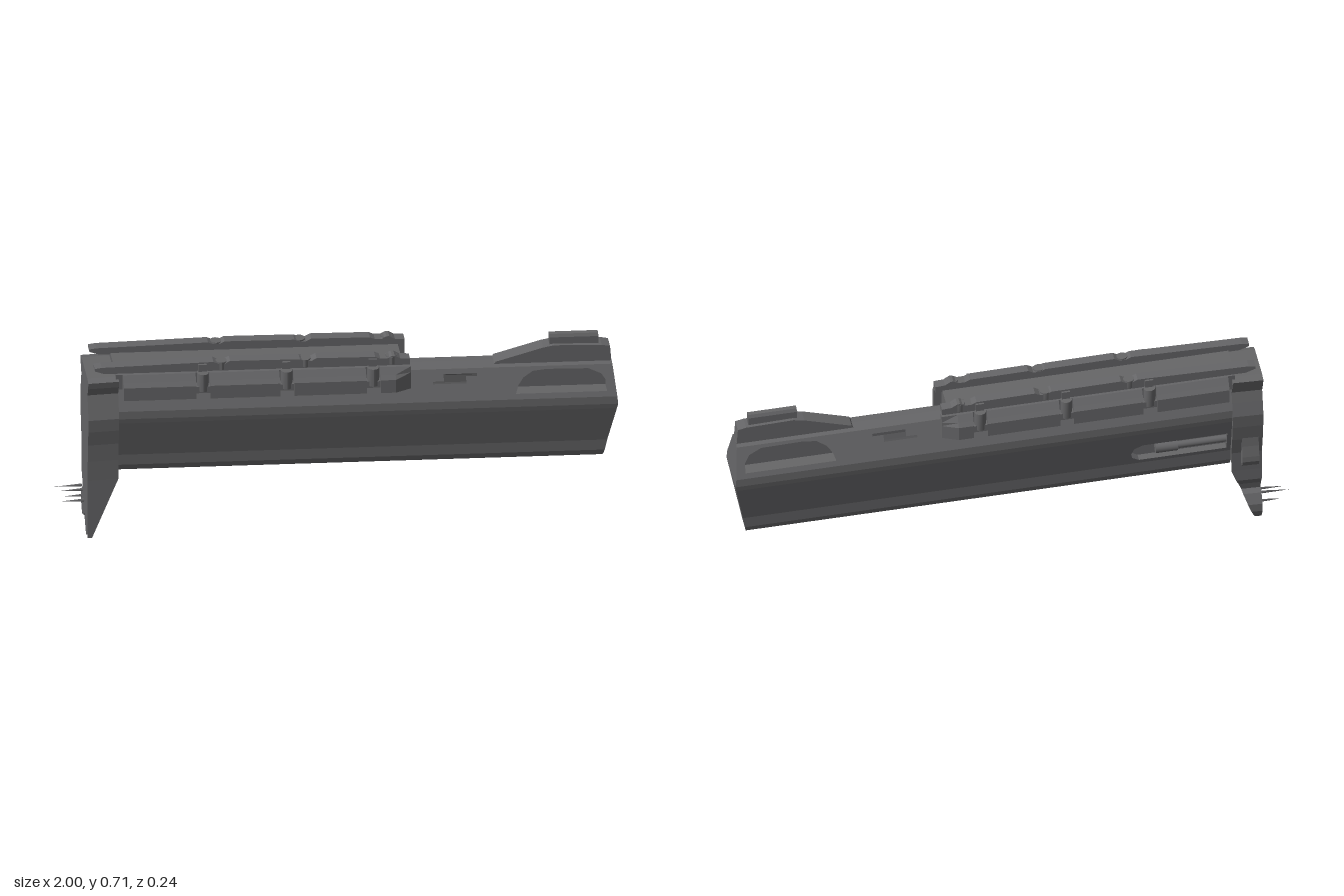
import * as THREE from 'three';

const SLOPE = 0.046; // everything but the rear frame droops towards the muzzle
const REAR = -0.79;
const gunmetal = new THREE.MeshStandardMaterial({ color: 0x656567, side: THREE.DoubleSide });
gunmetal.name = 'gunmetal';

// half cross-section of the shroud as [half width, height]
const PROFILE = [[0, 0.213], [0.022, 0.217], [0.04, 0.23], [0.05, 0.252], [0.053, 0.295], [0.09, 0.445],
  [0.094, 0.465], [0.093, 0.495], [0.042, 0.6], [0.03, 0.606], [0, 0.608]];
const muzzleX = y => (y < 0.465 ? 0.95 + (y - 0.213) / 0.252 * 0.05 : 1 - (y - 0.465) * 0.1);
const halfWidth = y => {
  for (let i = 1; i < PROFILE.length; i++) {
    const [w0, y0] = PROFILE[i - 1], [w1, y1] = PROFILE[i];
    if (y <= y1) return w0 + (w1 - w0) * (y - y0) / (y1 - y0);
  }
  return 0;
};
const v2 = pts => pts.map(p => new THREE.Vector2(p[0], p[1]));
const shapeOf = pts => new THREE.Shape(v2(pts));

// extrude a [z, y] section along x
function extrudeX(pts, x0, x1) {
  const g = new THREE.ExtrudeGeometry(shapeOf(pts.map(([z, y]) => [-z, y])), { depth: x1 - x0, bevelEnabled: false });
  return g.rotateY(Math.PI / 2).translate(x0, 0, 0);
}
// extrude an [x, y] outline along z
function extrudeZ(pts, z0, z1) {
  return new THREE.ExtrudeGeometry(shapeOf(pts), { depth: z1 - z0, bevelEnabled: false }).translate(0, 0, z0);
}
// ribbon of quads between two equal rows of points
function ribbon(a, b) {
  const pos = [];
  for (let i = 0; i < a.length - 1; i++) pos.push(...a[i], ...b[i], ...b[i + 1], ...a[i], ...b[i + 1], ...a[i + 1]);
  const g = new THREE.BufferGeometry();
  g.setAttribute('position', new THREE.Float32BufferAttribute(pos, 3));
  g.computeVertexNormals();
  return g;
}
function moveVertices(g, rule) {
  const p = g.attributes.position, v = new THREE.Vector3();
  for (let i = 0; i < p.count; i++) {
    v.fromBufferAttribute(p, i);
    rule(v);
    p.setXYZ(i, v.x, v.y, v.z);
  }
  g.computeVertexNormals();
  return g;
}

export function createModel() {
  const root = new THREE.Group();
  root.name = 'barrelAssembly';
  const add = (name, geo, sloped = true) => {
    if (sloped) moveVertices(geo, v => { v.y -= SLOPE * v.x; });
    const m = new THREE.Mesh(geo, gunmetal);
    m.name = name;
    root.add(m);
    return m;
  };

  // openings in the shroud
  const frontSlot = [[0.635, 0.513], [0.645, 0.54], [0.665, 0.565], [0.7, 0.585], [0.75, 0.59], [0.9, 0.588],
    [0.945, 0.57], [0.962, 0.545], [0.962, 0.513]];
  const rodSlot = [[-0.775, 0.31], [-0.46, 0.31], [-0.435, 0.325], [-0.43, 0.345], [-0.44, 0.37], [-0.47, 0.385], [-0.775, 0.385]];
  const window_ = [[0.34, 0.552], [0.46, 0.552], [0.46, 0.575], [0.5, 0.575], [0.5, 0.583], [0.38, 0.583], [0.38, 0.56], [0.34, 0.56]];
  const clipX = [-0.49, -0.19, 0.12];
  const clipHoles = clipX.map(x => [[x - 0.028, 0.55], [x + 0.028, 0.55], [x + 0.028, 0.574], [x - 0.028, 0.574]]);

  // shroud sides, one flat strip per profile step
  for (const side of [1, -1]) {
    for (let i = 1; i < PROFILE.length; i++) {
      const y0 = PROFILE[i - 1][1], y1 = PROFILE[i][1];
      const s = shapeOf([[REAR, y0], [muzzleX(y0), y0], [muzzleX(y1), y1], [REAR, y1]]);
      const holes = [frontSlot, window_, ...clipHoles];
      if (side < 0) holes.push(rodSlot);
      for (const h of holes) if (h[0][1] > y0 && h[0][1] < y1) s.holes.push(new THREE.Path(v2(h)));
      const g = new THREE.ShapeGeometry(s);
      if (side < 0) g.setIndex(Array.from(g.index.array).reverse());
      add('shroudSide', moveVertices(g, v => { v.z = side * halfWidth(v.y); }));
    }
  }
  // shroud ends
  const row = (xf, side) => PROFILE.map(([w, y]) => [xf(y), y, side * w]);
  add('muzzleFace', ribbon(row(muzzleX, 1), row(muzzleX, -1)));
  add('shroudRearFace', ribbon(row(() => REAR, -1), row(() => REAR, 1)));

  // recessed pockets behind the slots
  const pocket = (name, outline, side, depth) => {
    const loop = [...outline, outline[0]];
    add(name + 'Walls', ribbon(loop.map(([x, y]) => [x, y, side * halfWidth(y)]), loop.map(([x, y]) => [x, y, side * depth])));
    const g = new THREE.ShapeGeometry(shapeOf(outline));
    if (side < 0) g.setIndex(Array.from(g.index.array).reverse());
    add(name + 'Floor', g.translate(0, 0, side * depth));
  };
  for (const side of [1, -1]) pocket('frontSlot', frontSlot, side, 0.034);
  pocket('rodSlot', rodSlot, -1, 0.025);

  // ejector rod lying in its slot
  const rod = (name, r, x0, x1) =>
    add(name, new THREE.CylinderGeometry(r, r, x1 - x0, 16).rotateZ(Math.PI / 2).translate((x0 + x1) / 2, 0.345, -0.045));
  rod('ejectorRod', 0.013, -0.78, -0.56);
  rod('ejectorRodTip', 0.02, -0.6, -0.52);

  // front sight ramp and blade
  add('sightRamp', extrudeZ([[0.56, 0.6], [0.985, 0.6], [0.98, 0.665], [0.95, 0.671], [0.78, 0.675], [0.74, 0.667], [0.57, 0.615]], -0.028, 0.028));
  add('sightBlade', extrudeX([[-0.015, 0.66], [0.015, 0.66], [0.015, 0.7], [0.009, 0.711], [-0.009, 0.711], [-0.015, 0.7]], 0.765, 0.94));

  // top rail: deck, ridges, skirts and clips
  add('railDeck', extrudeX([[-0.088, 0.585], [0.088, 0.585], [0.088, 0.645], [0.07, 0.655], [-0.07, 0.655], [-0.088, 0.645]], -0.8, 0.23));
  const ridge = [[-0.875, 0.662], [-0.84, 0.65], [0.255, 0.65], [0.255, 0.674], [0.22, 0.676], [0.2, 0.688]];
  for (const x of [0.16, -0.11, -0.42]) ridge.push([x + 0.03, 0.688], [x + 0.012, 0.678], [x - 0.012, 0.678], [x - 0.03, 0.686]);
  ridge.push([-0.85, 0.676], [-0.875, 0.672]);
  for (const side of [1, -1]) {
    add('railRidge', extrudeZ(ridge, side > 0 ? 0.05 : -0.088, side > 0 ? 0.088 : -0.05));
    const skirt = [[0.072, 0.556], [0.122, 0.556], [0.122, 0.608], [0.11, 0.622], [0.092, 0.645], [0.072, 0.645]].map(([z, y]) => [side * z, y]);
    for (const [a, b] of [[-0.775, -0.515], [-0.465, -0.215], [-0.165, 0.095], [0.145, 0.2]]) add('railSkirt', extrudeX(skirt, a, b));
    add('railNose', moveVertices(extrudeX(skirt, 0.2, 0.257), v => {
      if (v.x > 0.25 && Math.abs(v.z) > 0.1) v.z = side * 0.095;
    }));
    for (const x of clipX) {
      add('clipPost', new THREE.CylinderGeometry(0.021, 0.021, 0.07, 14).translate(x, 0.617, side * 0.1));
      add('clipFoot', new THREE.BoxGeometry(0.052, 0.026, 0.03).translate(x, 0.588, side * 0.1));
      add('clipBand', new THREE.BoxGeometry(0.03, 0.05, 0.02).translate(x, 0.655, side * 0.086));
      add('ridgePin', new THREE.CylinderGeometry(0.02, 0.02, 0.03, 14).translate(x + 0.07, 0.668, side * 0.07));
    }
  }

  // rear frame: wavy section tapering to a ragged lower edge
  const frame = [[0.075, 0.668], [0.1, 0.66], [0.095, 0.635], [0.078, 0.6], [0.09, 0.56], [0.105, 0.51], [0.101, 0.46], [0.09, 0.4],
    [0.085, 0.33], [0.083, 0.25], [0.083, 0.12], [0.083, 0.015], [0.005, 0.075], [0.042, 0.005], [-0.004, 0.068], [-0.02, 0.05],
    [-0.05, 0.045], [-0.058, 0.033], [-0.072, 0.05], [-0.087, 0.075], [-0.086, 0.105], [-0.065, 0.14], [-0.045, 0.15], [-0.05, 0.175],
    [-0.07, 0.205], [-0.07, 0.25], [-0.073, 0.33], [-0.09, 0.4], [-0.1, 0.46], [-0.104, 0.51], [-0.09, 0.56], [-0.078, 0.6],
    [-0.095, 0.635], [-0.105, 0.66], [-0.075, 0.668]];
  add('rearFrame', moveVertices(extrudeX(frame, -0.9, REAR), v => {
    if (v.x > -0.85 && v.y < 0.25) v.x = -0.89 + 0.1 * v.y / 0.25;
  }), false);
  // latch on the far side of the frame
  add('frameLatch', extrudeX([[-0.06, 0.285], [-0.092, 0.285], [-0.107, 0.31], [-0.105, 0.33], [-0.095, 0.37], [-0.09, 0.41], [-0.06, 0.41]], -0.885, -0.825), false);
  // thin splinters at the broken edge
  for (const [y, z, len] of [[0.145, -0.07, 0.1], [0.135, -0.055, 0.08], [0.118, -0.01, 0.09], [0.105, -0.065, 0.07]]) {
    add('splinter', new THREE.ConeGeometry(0.006, len, 4).rotateZ(Math.PI / 2).translate(-0.9 - len / 2, y, z), false);
  }
  return root;
}
